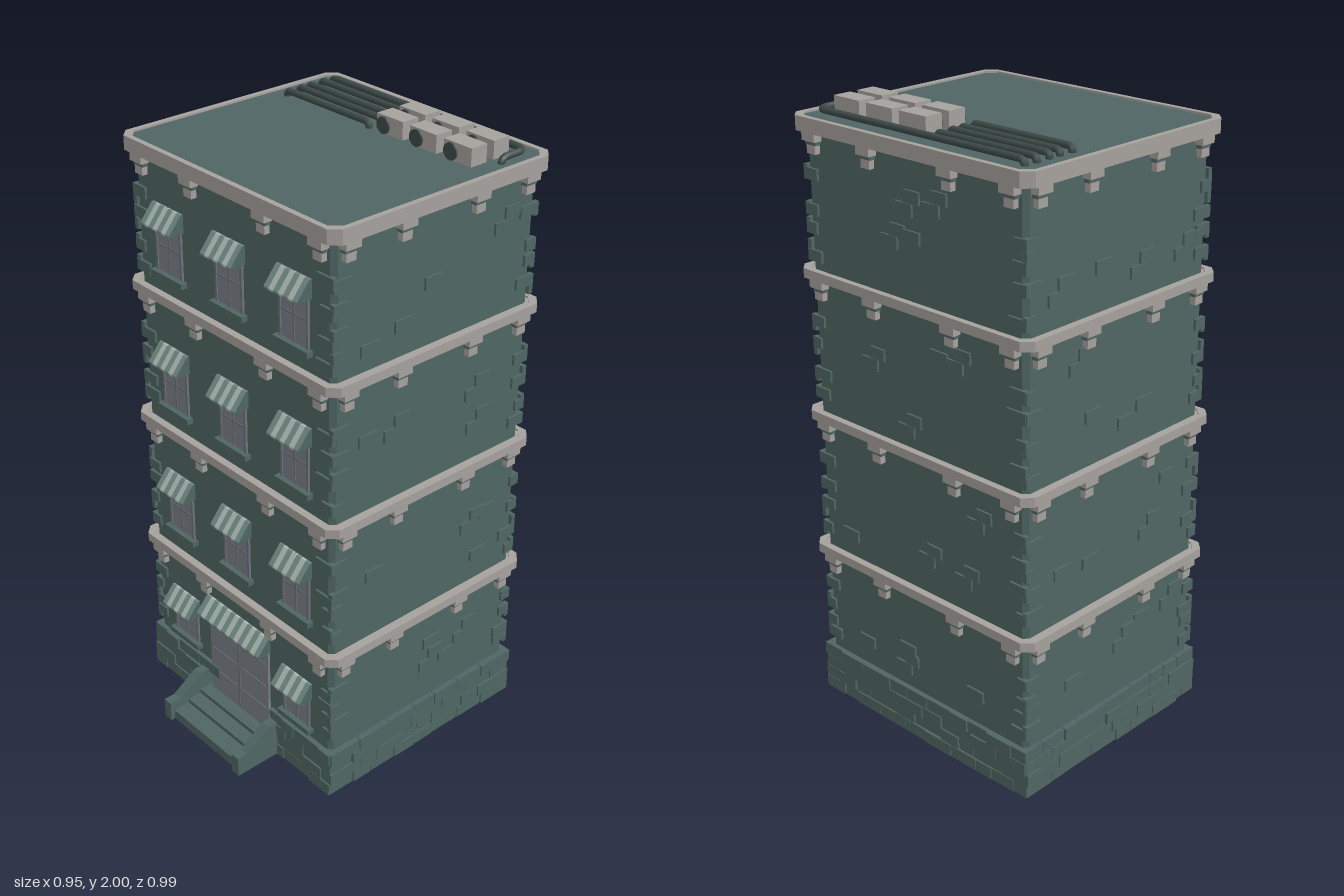
import * as THREE from 'three';

const mat = (name, color) => Object.assign(new THREE.MeshStandardMaterial({ color }), { name });
const M = {
  wall: mat('slateGreen', 0x4f6663), trim: mat('paleStone', 0xa5a19d), glass: mat('greyGlass', 0x7a7e87),
  frame: mat('frameGrey', 0x6c7179), light: mat('awningLight', 0xaab8b1), mid: mat('awningGreen', 0x708a84),
  dark: mat('darkMetal', 0x3d4b49),
};
const CZ = -0.0725, HX = 0.44, HZ = 0.39; // building centre and half sizes
const FRONT = CZ + HZ;

let seed = 7;
const rnd = () => (seed = (seed * 16807) % 2147483647) / 2147483647;

function add(parent, name, geo, material, x = 0, y = 0, z = 0) {
  const m = new THREE.Mesh(geo, material);
  m.name = name;
  m.position.set(x, y, z);
  parent.add(m);
  return m;
}
const box = (p, name, m, w, h, d, x, y, z) => add(p, name, new THREE.BoxGeometry(w, h, d), m, x, y, z);

// rectangle with cut corners
function cutRect(hx, hz, c, Type = THREE.Shape) {
  return new Type([[hx - c, -hz], [hx, c - hz], [hx, hz - c], [hx - c, hz], [c - hx, hz], [-hx, hz - c],
    [-hx, c - hz], [c - hx, -hz]].map(([x, y]) => new THREE.Vector2(x, y)));
}
// horizontal slab, optionally a ring with a given rim width
function slab(p, name, m, hx, hz, c, y0, y1, rim) {
  const s = cutRect(hx, hz, c);
  if (rim) s.holes.push(cutRect(hx - rim, hz - rim, c, THREE.Path));
  const g = new THREE.ExtrudeGeometry(s, { depth: y1 - y0, bevelEnabled: false }).rotateX(-Math.PI / 2);
  return add(p, name, g, m, 0, y0, CZ);
}
// side profile in (z, y) swept along x
function sweepX(p, name, m, pts, x0, w) {
  const s = new THREE.Shape(pts.map(([z, y]) => new THREE.Vector2(z, y)));
  const g = new THREE.ExtrudeGeometry(s, { depth: w, bevelEnabled: false }).rotateY(-Math.PI / 2);
  return add(p, name, g, m, x0 + w);
}

function awning(p, x, w, y0, y1, n) {
  const g = new THREE.Group();
  g.name = 'awning';
  const pts = [[FRONT, y0], [FRONT + 0.052, y0], [FRONT + 0.052, y0 + 0.006], [FRONT + 0.008, y1], [FRONT, y1]];
  for (let i = 0; i < n; i++)
    sweepX(g, 'awningStripe', [M.wall, i % 2 ? M.light : M.mid], pts, x - w / 2 + i * w / n, w / n);
  p.add(g);
}

function windowUnit(p, x, y0, y1, awnY) {
  const g = new THREE.Group(), h = y1 - y0, ym = (y0 + y1) / 2, z = FRONT + 0.001;
  g.name = 'window';
  box(g, 'glass', M.glass, 0.12, h, 0.006, x, ym, z);
  for (const s of [-1, 1]) box(g, 'frameSide', M.frame, 0.008, h, 0.014, x + s * 0.058, ym, z);
  box(g, 'mullion', M.frame, 0.006, h, 0.01, x, ym, z);
  box(g, 'crossbar', M.frame, 0.12, 0.006, 0.01, x, y0 + h * 0.4, z);
  box(g, 'sill', M.wall, 0.15, 0.018, 0.03, x, y0 - 0.009, z + 0.006);
  p.add(g);
  awning(p, x, 0.14, awnY, awnY + 0.06, 7);
}

// pipe along corner points, with rounded bends
function pipe(p, pts, r) {
  const v = pts.map(a => new THREE.Vector3(...a)), path = new THREE.CurvePath();
  let prev = v[0];
  for (let i = 1; i < v.length; i++) {
    if (i === v.length - 1) { path.add(new THREE.LineCurve3(prev, v[i])); break; }
    const b = Math.min(r, v[i].distanceTo(v[i - 1]) * 0.8, v[i].distanceTo(v[i + 1]) * 0.8);
    const a = v[i].clone().add(v[i - 1].clone().sub(v[i]).setLength(b));
    const c = v[i].clone().add(v[i + 1].clone().sub(v[i]).setLength(b));
    path.add(new THREE.LineCurve3(prev, a));
    path.add(new THREE.QuadraticBezierCurve3(a, v[i], c));
    prev = c;
  }
  add(p, 'roofPipe', new THREE.TubeGeometry(path, 80, 0.011, 8), M.dark);
}

export function createModel() {
  const root = new THREE.Group();
  root.name = 'apartmentBuilding';

  // walls: hollow ground floor, solid upper floors
  slab(root, 'groundFloorWalls', M.wall, HX, HZ, 0.015, 0.15, 0.52, 0.02);
  slab(root, 'upperWalls', M.wall, HX, HZ, 0.015, 0.515, 1.93);

  // cornices and roof
  const tiers = [[0.52, 0.55], [0.99, 1.02], [1.455, 1.485], [1.905, 1.95]];
  for (const [a, b] of tiers) {
    slab(root, 'cornice', M.trim, 0.475, 0.421, 0.03, a, b, 0.018);
    slab(root, 'corniceCore', b > 1.9 ? M.wall : M.trim, 0.458, 0.404, 0.02, a + 0.003, b - 0.006);
  }

  // details repeated on the four sides
  const sides = [[0, HX, HZ], [Math.PI / 2, HZ, HX], [Math.PI, HX, HZ], [-Math.PI / 2, HZ, HX]];
  sides.forEach(([angle, half, dist], k) => {
    const side = new THREE.Group();
    side.name = 'wallSide';
    side.position.z = CZ;
    side.rotation.y = angle;
    root.add(side);

    // brackets below each cornice
    for (const [a] of tiers) for (const t of [-1, -0.41, 0.41, 1]) {
      const u = t * (half - 0.045);
      box(side, 'bracketTop', M.trim, 0.055, 0.026, 0.034, u, a - 0.012, dist + 0.012);
      box(side, 'bracketNeck', M.wall, 0.045, 0.012, 0.024, u, a - 0.031, dist + 0.008);
      box(side, 'bracketFoot', M.trim, 0.036, 0.028, 0.026, u, a - 0.05, dist + 0.006);
    }

    // rough masonry plinth in four courses
    for (let row = 0; row < 4; row++) {
      let u = -half - 0.015;
      while (u < half + 0.01) {
        let w = Math.min(0.06 + rnd() * 0.08, half + 0.015 - u);
        if (half + 0.015 - u - w < 0.03) w = half + 0.015 - u;
        const out = 0.012 + rnd() * 0.01, deep = 0.03 + rnd() * 0.02, c = u + w / 2;
        const blocked = k === 0 && Math.abs(c) < 0.15;
        if (!blocked) box(side, 'plinthBrick', M.wall, w - 0.002, 0.0405, deep + out, c, 0.0205 + row * 0.041, dist + (out - deep) / 2);
        u += w;
      }
    }

    // scattered raised bricks and corner bricks
    for (let f = 0; f < 4; f++) {
      const base = f ? tiers[f - 1][1] : 0.17, top = tiers[f][0] - 0.07;
      for (const s of [-1, 1]) for (let i = 0; i < 4; i++) {
        const w = 0.035 + rnd() * 0.04, y = base + 0.03 + (top - base - 0.05) * (i + rnd() * 0.6) / 4;
        box(side, 'cornerBrick', M.wall, w, 0.036, 0.016, s * (half + 0.006 - w / 2), y, dist);
      }
      if (k) for (let i = 0; i < 4; i++) {
        const u = (rnd() * 2 - 1) * (half - 0.1), y = base + 0.04 + rnd() * (top - base - 0.08);
        box(side, 'raisedBrick', M.wall, 0.07, 0.038, 0.014, u, y, dist);
        if (rnd() > 0.5) box(side, 'raisedBrick', M.wall, 0.06, 0.038, 0.014, u + 0.035, y + 0.039, dist);
      }
    }
  });

  // windows
  for (const x of [-0.283, 0, 0.283]) {
    for (const y of [0.627, 1.088, 1.552]) windowUnit(root, x, y, y + 0.215, y + 0.155);
    if (x) windowUnit(root, x, 0.205, 0.375, 0.32);
  }

  // double door
  for (const s of [-1, 1]) {
    box(root, 'doorLeaf', M.glass, 0.146, 0.335, 0.03, s * 0.0755, 0.2325, FRONT - 0.006);
    for (const y of [0.15, 0.24, 0.33]) box(root, 'doorRail', M.frame, 0.12, 0.005, 0.006, s * 0.0755, y, FRONT + 0.009);
  }
  box(root, 'doorSeam', M.frame, 0.008, 0.335, 0.022, 0, 0.2325, FRONT);
  awning(root, -0.005, 0.315, 0.383, 0.44, 15);

  // entrance steps and sloping side walls
  [[0.48, 0.035], [0.42, 0.05], [0.37, 0.065]].forEach(([z, y]) =>
    box(root, 'step', M.wall, 0.33, y, z - 0.3, 0, y / 2, (z + 0.3) / 2));
  for (const x of [-0.196, 0.162])
    sweepX(root, 'stairSideWall', M.wall, [[0.31, 0], [0.495, 0], [0.495, 0.07], [0.455, 0.07], [0.365, 0.13], [0.31, 0.13]], x, 0.034);

  // rooftop cooling units with front fans
  for (const x of [0.057, 0.194, 0.332]) for (const z of [-0.362, -0.272]) {
    box(root, 'coolingUnit', M.trim, 0.108, 0.06, 0.062, x, 1.97, z);
    const fan = add(root, 'fan', new THREE.CylinderGeometry(0.026, 0.026, 0.008, 16), M.dark, x - 0.025, 1.97, z + 0.033);
    fan.rotation.x = Math.PI / 2;
  }

  // roof pipes
  for (const z of [-0.242, -0.291, -0.332, -0.382])
    pipe(root, [[-0.402, 1.935, z], [-0.402, 1.961, z], [-0.032, 1.961, z], [-0.032, 1.935, z]], 0.015);
  pipe(root, [[-0.402, 1.935, -0.426], [-0.402, 1.961, -0.426], [0.42, 1.961, -0.426], [0.42, 1.961, -0.328], [0.42, 1.935, -0.328]], 0.035);

  return root;
}
